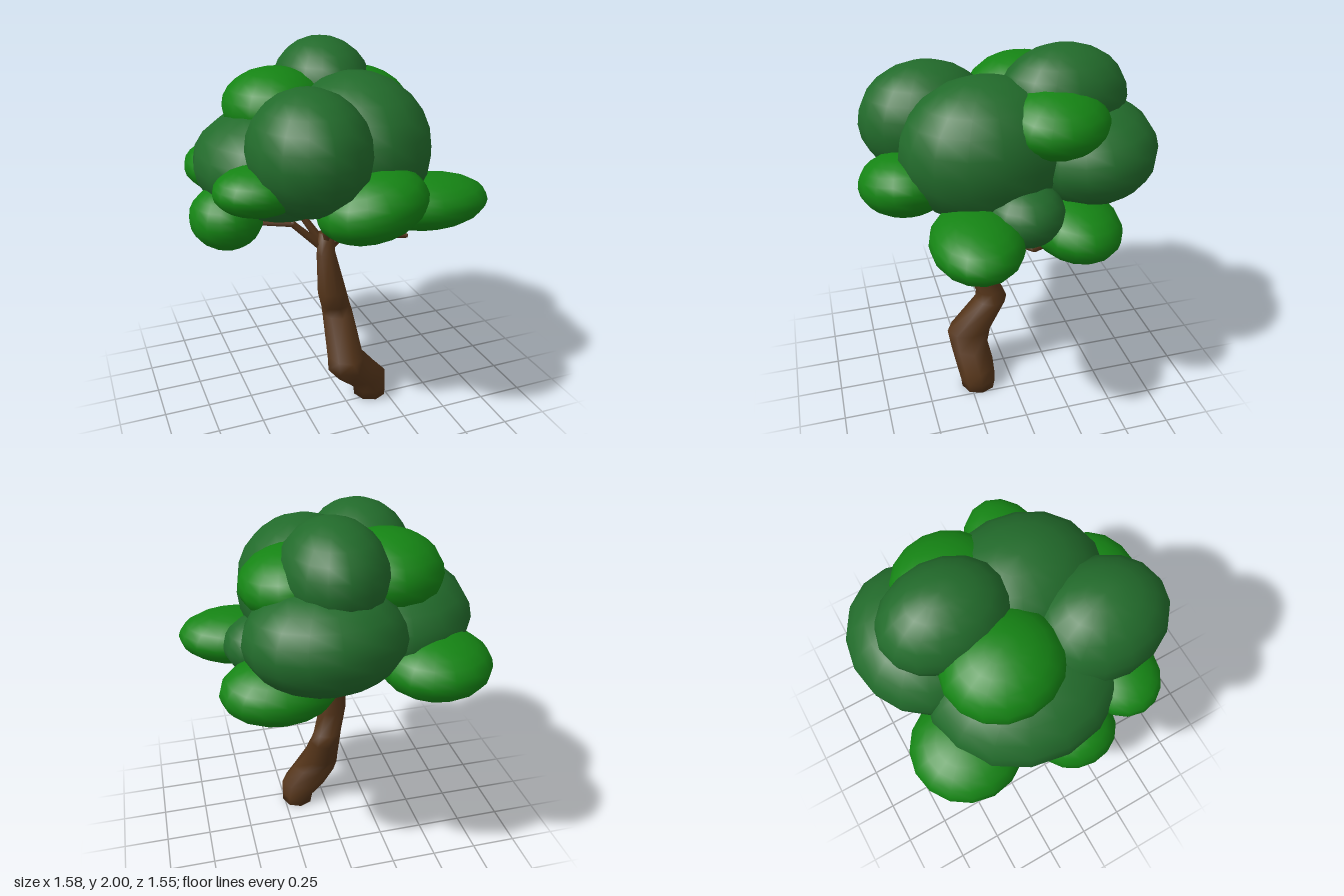
import * as THREE from 'three';

const bark = new THREE.MeshStandardMaterial({ color: 0x55351a });
const darkLeaf = new THREE.MeshStandardMaterial({ color: 0x226b2b });
const brightLeaf = new THREE.MeshStandardMaterial({ color: 0x158414 });

// Loft of elliptical rings: each ring is [y, xMin, xMax, zMin, zMax]
function loftRings(rings, sides) {
  const pos = [], idx = [];
  for (const [y, x0, x1, z0, z1] of rings) {
    for (let i = 0; i < sides; i++) {
      const a = (i / sides) * Math.PI * 2;
      pos.push((x0 + x1) / 2 + Math.cos(a) * (x1 - x0) / 2, y, (z0 + z1) / 2 + Math.sin(a) * (z1 - z0) / 2);
    }
  }
  for (let r = 0; r < rings.length - 1; r++) {
    for (let i = 0; i < sides; i++) {
      const j = (i + 1) % sides;
      const a = r * sides + i, b = r * sides + j, c = a + sides, d = b + sides;
      idx.push(a, c, b, b, c, d);
    }
  }
  // End caps as fans
  const top = (rings.length - 1) * sides;
  for (let i = 1; i < sides - 1; i++) {
    idx.push(0, i, i + 1, top, top + i + 1, top + i);
  }
  const geo = new THREE.BufferGeometry();
  geo.setAttribute('position', new THREE.Float32BufferAttribute(pos, 3));
  geo.setIndex(idx);
  geo.computeVertexNormals();
  return geo;
}

// Kinked twig: tapered cylinders joined by small balls
function branch(points, r0, r1) {
  const group = new THREE.Group();
  group.name = 'branch';
  const up = new THREE.Vector3(0, 1, 0);
  const pts = points.map(p => new THREE.Vector3(...p));
  const radius = i => r0 + (r1 - r0) * i / (pts.length - 1);
  for (let i = 0; i < pts.length - 1; i++) {
    const dir = pts[i + 1].clone().sub(pts[i]);
    const seg = new THREE.Mesh(new THREE.CylinderGeometry(radius(i + 1), radius(i), dir.length(), 6), bark);
    seg.position.copy(pts[i]).addScaledVector(dir, 0.5);
    seg.quaternion.setFromUnitVectors(up, dir.normalize());
    seg.name = 'branchSegment';
    const joint = new THREE.Mesh(new THREE.SphereGeometry(radius(i + 1), 6, 4), bark);
    joint.position.copy(pts[i + 1]);
    joint.name = 'branchJoint';
    group.add(seg, joint);
  }
  return group;
}

export function createModel() {
  const tree = new THREE.Group();
  tree.name = 'tree';

  // Crooked trunk
  const trunk = new THREE.Mesh(loftRings([
    [0, 0.07, 0.26, 0.10, 0.30],
    [0.05, 0.07, 0.26, 0.10, 0.305],
    [0.13, -0.03, 0.26, 0.10, 0.32],
    [0.22, -0.10, 0.18, 0.115, 0.335],
    [0.30, -0.10, 0.11, 0.08, 0.345],
    [0.50, -0.08, 0.10, -0.015, 0.175],
    [0.56, -0.09, 0.08, 0.01, 0.165],
    [0.68, -0.13, 0.035, 0.06, 0.22],
    [0.88, -0.11, 0.00, 0.02, 0.12],
    [1.00, -0.095, 0.00, 0.02, 0.11],
  ], 8), bark);
  trunk.name = 'trunk';
  tree.add(trunk);

  // Branches
  const branches = [
    [[-0.06, 0.90, 0.06], [-0.23, 1.06, 0.02], [-0.45, 1.07, -0.06]],
    [[-0.06, 0.92, 0.06], [-0.16, 1.08, 0.00], [-0.27, 1.25, -0.10]],
    [[-0.04, 0.93, 0.06], [0.05, 0.99, 0.10], [0.2, 0.965, 0.12], [0.39, 0.95, 0.16]],
    [[-0.03, 0.90, 0.05], [0.14, 0.88, -0.14], [0.32, 1.05, -0.25]],
    [[-0.05, 0.95, 0.07], [-0.08, 1.08, 0.15], [0.02, 1.16, 0.22]],
    [[-0.05, 0.95, 0.07], [0.0, 1.10, 0.0], [0.03, 1.25, -0.06]],
  ];
  for (const p of branches) tree.add(branch(p, 0.027, 0.014));

  // Leaf clumps: centre, radii, rotation about x, y, z
  const clumps = {
    dark: [
      [[0.06, 1.74, -0.30], [0.265, 0.26, 0.335]],
      [[0.10, 1.50, 0.12], [0.375, 0.38, 0.45]],
      [[-0.25, 1.56, 0.36], [0.305, 0.31, 0.365]],
      [[0.13, 1.46, -0.42], [0.405, 0.27, 0.36], [0.1, 0, 0]],
      [[-0.27, 1.40, -0.07], [0.455, 0.30, 0.50]],
      [[0.35, 1.25, -0.01], [0.23, 0.165, 0.21]],
    ],
    bright: [
      [[-0.25, 1.67, -0.17], [0.285, 0.205, 0.305]],
      [[0.25, 1.68, -0.20], [0.26, 0.165, 0.275], [0, 0, -0.15]],
      [[-0.42, 1.28, -0.47], [0.285, 0.16, 0.285]],
      [[-0.50, 1.40, 0.35], [0.225, 0.12, 0.2]],
      [[-0.60, 1.17, 0.06], [0.19, 0.165, 0.215]],
      [[0.46, 1.185, 0.26], [0.335, 0.145, 0.235], [0, -0.1, 0.03]],
      [[0.34, 1.13, -0.29], [0.305, 0.16, 0.24], [-0.08, 0, 0]],
      [[0.01, 1.32, 0.53], [0.285, 0.17, 0.245], [0, 0, 0.22]],
    ],
  };
  const ball = new THREE.SphereGeometry(1, 16, 12);
  for (const [tone, list] of Object.entries(clumps)) {
    for (const [centre, radii, turn = [0, 0, 0]] of list) {
      const clump = new THREE.Mesh(ball, tone === 'dark' ? darkLeaf : brightLeaf);
      clump.position.set(...centre);
      clump.scale.set(...radii);
      clump.rotation.set(...turn);
      clump.name = tone + 'LeafClump';
      tree.add(clump);
    }
  }
  return tree;
}
